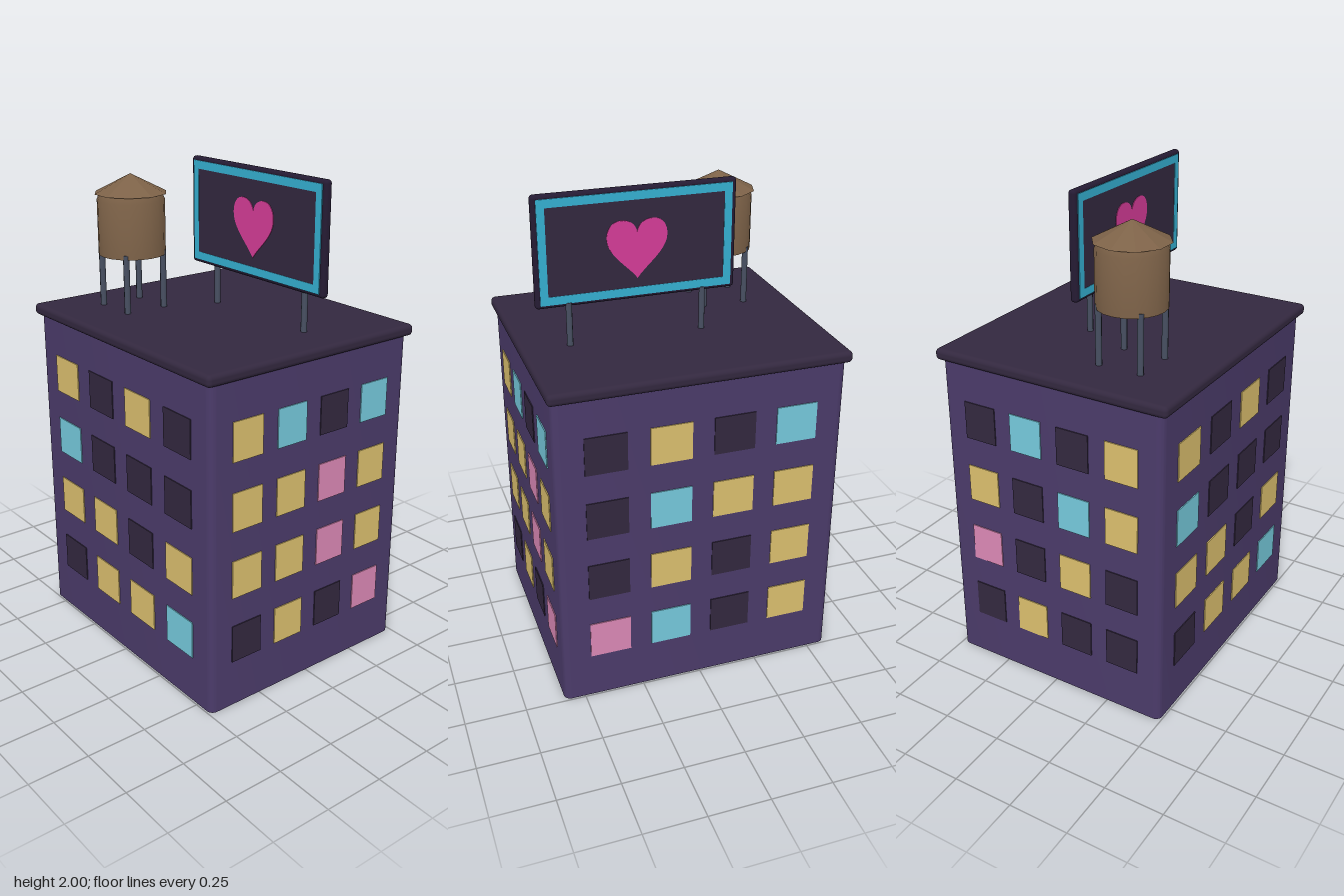
import * as THREE from 'three';
import { RoundedBoxGeometry } from 'three/addons/geometries/RoundedBoxGeometry.js';
import { toCreasedNormals } from 'three/addons/utils/BufferGeometryUtils.js';

const paint = (name, color) => {
  const m = new THREE.MeshStandardMaterial({ color });
  m.name = name;
  return m;
};

export function createModel() {
  const wall = paint('purple wall', 0x4b3b6a);
  const dark = paint('dark roof and glass', 0x33283f);
  const frame = paint('black frame', 0x251b33);
  const yellow = paint('yellow light', 0xdcc06e);
  const cyan = paint('cyan light', 0x76cadd);
  const pink = paint('pink light', 0xdc89b6);
  const neon = paint('neon blue', 0x35b0d2);
  const magenta = paint('heart magenta', 0xd63c98);
  const wood = paint('brown wood', 0x7d6248);
  const steel = paint('grey steel', 0x485062);

  const model = new THREE.Group();
  model.name = 'building';
  const add = (parent, name, geometry, material, x = 0, y = 0, z = 0) => {
    const mesh = new THREE.Mesh(geometry, material);
    mesh.name = name;
    mesh.position.set(x, y, z);
    parent.add(mesh);
    return mesh;
  };
  const group = (parent, name, x = 0, y = 0, z = 0, turn = 0) => {
    const g = new THREE.Group();
    g.name = name;
    g.position.set(x, y, z);
    g.rotation.y = turn;
    parent.add(g);
    return g;
  };

  // Main block: rounded rectangle extruded upward
  const hx = 0.493, hz = 0.585, r = 0.028;
  const plan = new THREE.Shape();
  plan.moveTo(-hx + r, -hz);
  plan.absarc(hx - r, -hz + r, r, -Math.PI / 2, 0);
  plan.absarc(hx - r, hz - r, r, 0, Math.PI / 2);
  plan.absarc(-hx + r, hz - r, r, Math.PI / 2, Math.PI);
  plan.absarc(-hx + r, -hz + r, r, Math.PI, Math.PI * 1.5);
  const block = new THREE.ExtrudeGeometry(plan, { depth: 1.37, bevelEnabled: false, curveSegments: 4 });
  block.rotateX(-Math.PI / 2);
  add(model, 'walls', toCreasedNormals(block, 0.6), wall);
  add(model, 'roof', new RoundedBoxGeometry(1.03, 0.047, 1.204, 3, 0.018), dark, 0, 1.3765, 0);

  // Windows, listed per face from the top floor down, left to right from outside
  const glass = { Y: yellow, C: cyan, P: pink, D: dark };
  const faces = [
    ['front', 0, hz, 0.142, 0.2143, ['YCDC', 'YYPY', 'YYPY', 'DYDP']],
    ['left', Math.PI / 2, hx, 0.168, 0.257, ['DYDC', 'DCYY', 'DYDY', 'PCDY']],
    ['back', Math.PI, hz, 0.142, 0.2143, ['DCDY', 'YDCY', 'PDYD', 'DYDD']],
    ['right', -Math.PI / 2, hx, 0.168, 0.257, ['YDYD', 'CDDD', 'YYDY', 'DYYC']],
  ];
  for (const [name, turn, dist, width, step, rows] of faces) {
    const side = group(model, name + 'Windows', 0, 0, 0, turn);
    const pane = new THREE.BoxGeometry(width, 0.158, 0.008);
    rows.forEach((row, j) => [...row].forEach((key, i) =>
      add(side, 'window', pane, glass[key], (i - 1.5) * step, 1.12 - j * 0.281, dist)));
  }

  // Water tower
  const tower = group(model, 'waterTower', -0.203, 0, -0.313);
  const leg = new THREE.CylinderGeometry(0.013, 0.013, 0.25, 8);
  for (const x of [-0.09, 0.09])
    for (const z of [-0.09, 0.09]) add(tower, 'towerLeg', leg, steel, x, 1.515, z);
  const profile = [[0, 1.623], [0.138, 1.623], [0.138, 1.845], [0.127, 1.872], [0, 1.872]]
    .map(([x, y]) => new THREE.Vector2(x, y));
  add(tower, 'tank', toCreasedNormals(new THREE.LatheGeometry(profile, 20), 0.7), wood);
  const cone = toCreasedNormals(new THREE.ConeGeometry(0.15, 0.077, 10), 0.01);
  add(tower, 'tankRoof', cone, wood, 0, 1.9095, 0);

  // Billboard: a frame with the same picture on both sides
  const sign = group(model, 'billboard', 0.089, 1.78, 0.135, Math.PI / 2);
  add(sign, 'signFrame', new RoundedBoxGeometry(0.803, 0.44, 0.034, 3, 0.014), frame);
  const post = new THREE.CylinderGeometry(0.0125, 0.0125, 0.19, 8);
  for (const z of [0.408, -0.132]) add(model, 'signPost', post, steel, 0.101, 1.482, z);

  const border = new THREE.Shape();
  const rect = (path, w, h) => path.moveTo(-w, -h).lineTo(w, -h).lineTo(w, h).lineTo(-w, h).closePath();
  rect(border, 0.383, 0.205);
  const hole = new THREE.Path();
  rect(hole, 0.352, 0.172);
  border.holes.push(hole);

  const heart = new THREE.Shape();
  heart.moveTo(0, -0.135);
  heart.bezierCurveTo(-0.035, -0.085, -0.12, -0.035, -0.12, 0.03);
  heart.bezierCurveTo(-0.12, 0.075, -0.094, 0.097, -0.063, 0.097);
  heart.bezierCurveTo(-0.03, 0.097, -0.006, 0.08, 0, 0.05);
  heart.bezierCurveTo(0.006, 0.08, 0.03, 0.097, 0.063, 0.097);
  heart.bezierCurveTo(0.094, 0.097, 0.12, 0.075, 0.12, 0.03);
  heart.bezierCurveTo(0.12, -0.035, 0.035, -0.085, 0, -0.135);
  const plate = (shape, depth) =>
    new THREE.ExtrudeGeometry(shape, { depth, bevelEnabled: false, curveSegments: 10 });
  for (const turn of [0, Math.PI]) {
    const picture = group(sign, 'signPicture', 0, 0, 0, turn);
    add(picture, 'screen', new THREE.BoxGeometry(0.704, 0.344, 0.004), dark, 0, 0, 0.017);
    add(picture, 'neonBorder', plate(border, 0.005), neon, 0, 0, 0.0155);
    add(picture, 'heart', plate(heart, 0.005), magenta, 0, 0, 0.0165);
  }
  return model;
}
